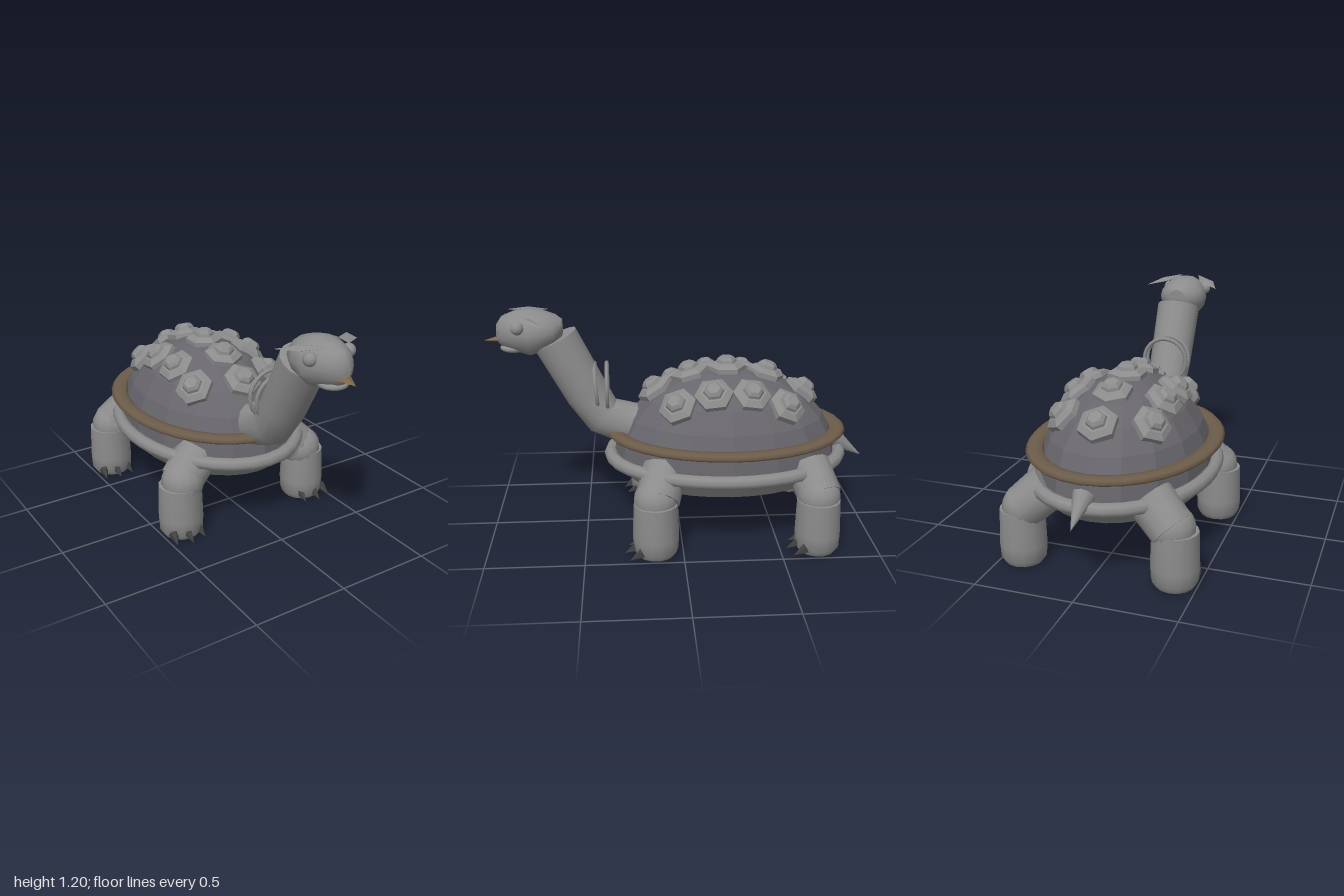
import * as THREE from 'three';
import { toCreasedNormals } from 'three/addons/utils/BufferGeometryUtils.js';

const V = (x, y, z) => new THREE.Vector3(x, y, z);
const UP = V(0, 1, 0);

export function createModel() {
  const model = new THREE.Group();
  model.name = 'tortoise';
  const mat = (name, color) => {
    const m = new THREE.MeshStandardMaterial({ color });
    m.name = name;
    return m;
  };
  const skin = mat('grey skin', 0x8c8c8c);
  const shellGrey = mat('shell grey', 0x68666c);
  const rimBrown = mat('rim brown', 0x6c5c4a);
  const beakBrown = mat('beak brown', 0x7c6648);
  const clawGrey = mat('claw dark grey', 0x414141);

  const add = (name, geo, material, pos = V(0, 0, 0), parent = model) => {
    const m = new THREE.Mesh(geo, material);
    m.name = name;
    m.position.copy(pos);
    parent.add(m);
    return m;
  };
  const flat = (geo) => {
    const g = geo.index ? geo.toNonIndexed() : geo;
    g.computeVertexNormals();
    return g;
  };
  const creased = (geo) => toCreasedNormals(geo, 0.7);
  const lathe = (pts, n) => new THREE.LatheGeometry(pts.map(p => new THREE.Vector2(...p)), n);
  // cylinder or cone running from a to b
  const rod = (name, a, b, ra, rb, n, material, parent = model) => {
    const d = b.clone().sub(a);
    const g = creased(new THREE.CylinderGeometry(rb, ra, d.length(), n));
    const m = add(name, g, material, a.clone().add(b).multiplyScalar(0.5), parent);
    m.quaternion.setFromUnitVectors(UP, d.normalize());
    return m;
  };
  // skin stretched over rings of equal point count, closed at both ends
  const loft = (rings) => {
    const n = rings[0].length, pos = [], idx = [];
    rings.forEach(r => r.forEach(p => pos.push(p.x, p.y, p.z)));
    for (let i = 0; i < rings.length - 1; i++)
      for (let j = 0; j < n; j++) {
        const a = i * n + j, b = i * n + (j + 1) % n;
        idx.push(a, b, a + n, b, b + n, a + n);
      }
    [0, rings.length - 1].forEach((r, end) => {
      for (let j = 1; j < n - 1; j++)
        idx.push(r * n, r * n + j + (end ? 0 : 1), r * n + j + (end ? 1 : 0));
    });
    const g = new THREE.BufferGeometry();
    g.setAttribute('position', new THREE.Float32BufferAttribute(pos, 3));
    g.setIndex(idx);
    return creased(g);
  };
  const circle = (n, f) => Array.from({ length: n }, (_, j) => f(Math.cos(j / n * Math.PI * 2), Math.sin(j / n * Math.PI * 2)));

  // Shell dome and belly
  const C = V(0, 0.37, -0.25), R = V(0.43, 0.5, 0.6);
  add('shellDome', flat(new THREE.SphereGeometry(1, 16, 6, 0, Math.PI * 2, 0, Math.PI / 2).scale(R.x, R.y, R.z)), shellGrey, C);
  add('belly', creased(new THREE.CylinderGeometry(1, 0.88, 0.07, 32).scale(0.44, 1, 0.6)), skin, V(0, 0.335, -0.25));

  // Oval rims around the shell
  const rim = (name, rx, rz, y, tube, squash, material) => {
    const path = new THREE.CatmullRomCurve3(circle(24, (c, s) => V(rx * c, 0, rz * s)), true);
    add(name, new THREE.TubeGeometry(path, 36, tube, 8, true).scale(1, squash, 1), material, V(0, y, -0.25));
  };
  rim('lowerRim', 0.445, 0.615, 0.405, 0.035, 1, skin);
  rim('upperRim', 0.438, 0.595, 0.54, 0.046, 0.45, rimBrown);

  // Hexagonal studs, standing along the dome's surface normal
  const studGeo = flat(lathe([[0, -0.05], [0.1, -0.05], [0.1, 0.02], [0.066, 0.04], [0.055, 0.04], [0.05, 0.055], [0.034, 0.07], [0, 0.07]], 6));
  const stud = (x, z) => {
    const u = x / R.x, w = (z - C.z) / R.z, v = Math.sqrt(1 - u * u - w * w);
    const m = add('shellStud', studGeo, skin, V(x, C.y + R.y * v - 0.01, z));
    m.quaternion.setFromUnitVectors(UP, V(u / R.x, v / R.y, w / R.z).normalize());
  };
  [-0.65, -0.455, -0.25, -0.06, 0.12].forEach(z => stud(0, z));
  for (const s of [-1, 1]) [-0.535, -0.355, -0.165, 0.015].forEach(z => stud(s * 0.22, z));

  // Legs with feet and claws
  const footGeo = creased(lathe([[0, 0], [0.095, 0], [0.114, 0.03], [0.118, 0.1], [0.112, 0.28], [0, 0.28]], 14));
  for (const s of [-1, 1]) for (const [part, z, hipZ] of [['front', 0.14, 0.09], ['rear', -0.69, -0.65]]) {
    const leg = new THREE.Group();
    leg.name = part + (s > 0 ? 'LeftLeg' : 'RightLeg');
    model.add(leg);
    rod('upperLeg', V(s * 0.25, 0.405, hipZ), V(s * 0.38, 0.285, z - 0.01), 0.118, 0.112, 12, skin, leg);
    add('knee', new THREE.SphereGeometry(0.112, 14, 10), skin, V(s * 0.375, 0.29, z), leg);
    add('foot', footGeo, skin, V(s * 0.39, 0, z), leg);
    for (const [dx, dz] of [[-0.065, 0.09], [0.005, 0.11], [0.075, 0.085]])
      rod('claw', V(s * (0.4 + dx), 0.045, z + dz - 0.015), V(s * (0.4 + dx * 1.15), 0.012, z + dz + 0.05), 0.027, 0, 5, clawGrey, leg);
  }

  // Tail
  rod('tail', V(0, 0.46, -0.84), V(0, 0.355, -1), 0.055, 0, 10, skin);

  // Neck: rings given as y, z, radius and tilt of the section
  const neck = [[0.55, 0.15, 0.115, 1.3], [0.57, 0.26, 0.113, 1.2], [0.62, 0.4, 0.108, 0.85], [0.75, 0.483, 0.115, 0.5], [1.04, 0.635, 0.12, 0.45]];
  add('neck', loft(neck.map(([y, z, r, t]) =>
    circle(16, (c, s) => V(r * c, y + r * s * Math.sin(t), z - r * s * Math.cos(t))))), skin);

  // Thin loops behind the neck
  [[0.43, 0.08], [0.375, 0]].forEach(([z, tilt]) => {
    const m = add('neckLoop', new THREE.TorusGeometry(0.122, 0.011, 6, 24), skin, V(0, 0.78, z));
    m.rotation.x = tilt;
  });

  // Head: sections given as z, bottom, top and half width
  const head = [[0.595, 1.05, 1.14, 0.05], [0.63, 1.01, 1.165, 0.1], [0.69, 0.98, 1.185, 0.128], [0.76, 0.957, 1.2, 0.132],
    [0.84, 0.98, 1.185, 0.105], [0.9, 1.005, 1.16, 0.065], [0.927, 1.03, 1.12, 0.025]];
  add('head', loft(head.map(([z, b, t, w]) =>
    circle(14, (c, s) => V(w * c, (b + t) / 2 + (t - b) / 2 * s, z)))), skin);
  add('lowerJaw', new THREE.SphereGeometry(1, 14, 8).scale(0.075, 0.025, 0.075), skin, V(0, 0.998, 0.84));
  add('beak', flat(new THREE.ConeGeometry(1, 0.11, 4).rotateX(Math.PI / 2).scale(0.055, 0.023, 1)), beakBrown, V(0, 1.04, 0.94)).rotation.x = 0.1;

  // Eyes and leaf-shaped brows
  for (const s of [-1, 1]) {
    add('eye', new THREE.SphereGeometry(0.033, 14, 10), skin, V(s * 0.108, 1.12, 0.81));
    const brow = add('brow', flat(new THREE.OctahedronGeometry(1).scale(0.042, 0.014, 0.132)), skin, V(s * 0.128, 1.165, 0.775));
    brow.lookAt(s * 0.21, 1.145, 0.67);
  }
  return model;
}
